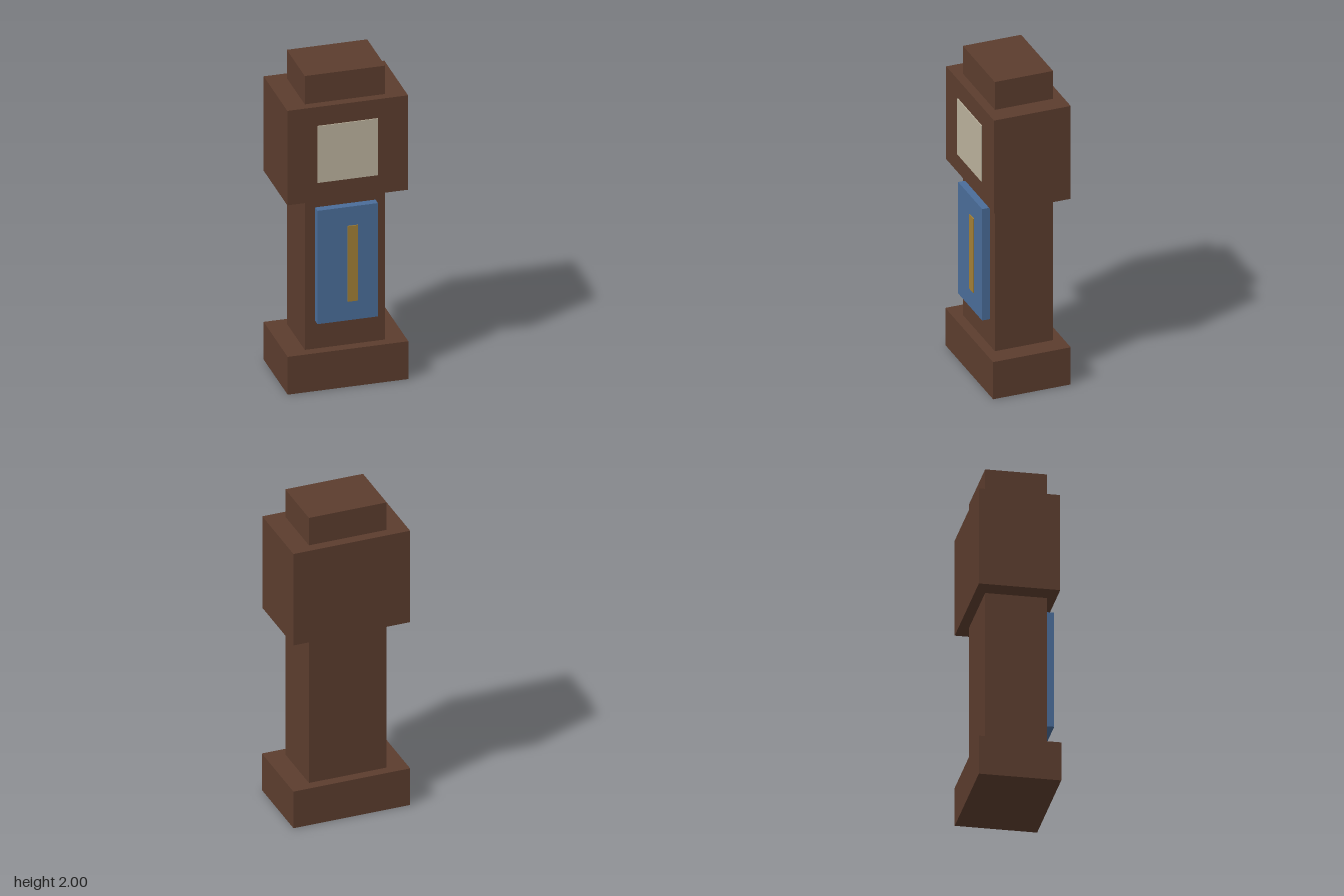
import * as THREE from 'three';

const material = (name, color) => {
  const m = new THREE.MeshStandardMaterial({ color });
  m.name = name;
  return m;
};

export function createModel() {
  const wood = material('dark wood', 0x5c3d2e);
  const ivory = material('ivory', 0xbab19c);
  const glass = material('blue glass', 0x4a6d99);
  const brass = material('brass', 0xa17f36);

  const clock = new THREE.Group();
  clock.name = 'longcaseClock';

  // Box given by its lowest and highest corner
  const block = (name, mat, [x0, y0, z0], [x1, y1, z1]) => {
    const mesh = new THREE.Mesh(new THREE.BoxGeometry(x1 - x0, y1 - y0, z1 - z0), mat);
    mesh.position.set((x0 + x1) / 2, (y0 + y1) / 2, (z0 + z1) / 2);
    mesh.name = name;
    clock.add(mesh);
  };

  // Wooden case, stacked from the floor up
  block('base', wood, [-0.3636, 0, -0.2424], [0.3636, 0.2424, 0.2424]);
  block('trunk', wood, [-0.2424, 0.2424, -0.1818], [0.2424, 1.2121, 0.1818]);
  block('hood', wood, [-0.3636, 1.2121, -0.2424], [0.3636, 1.8182, 0.2364]);
  block('crown', wood, [-0.2424, 1.8182, -0.1818], [0.2424, 2, 0.1818]);

  // Dial plate on the hood
  block('dial', ivory, [-0.1818, 1.3333, 0.2364], [0.1818, 1.697, 0.2424]);

  // Glass door just clear of the trunk, with the pendulum passing through it
  block('door', glass, [-0.1818, 0.4242, 0.1879], [0.1818, 1.1515, 0.2364]);
  block('pendulum', brass, [0, 0.5455, 0.1818], [0.0606, 1.0303, 0.2424]);

  return clock;
}
